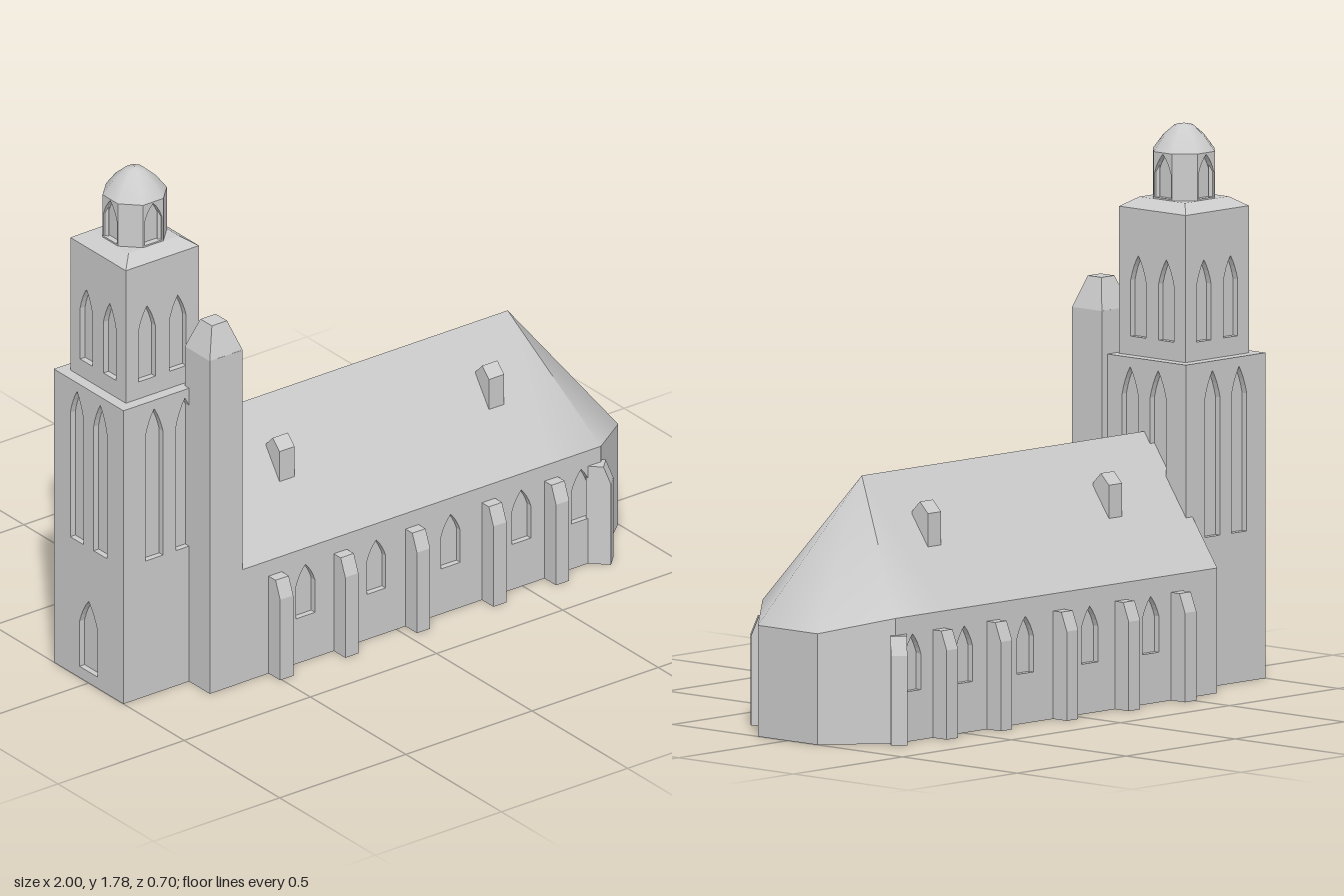
import * as THREE from 'three';
import { ConvexGeometry } from 'three/addons/geometries/ConvexGeometry.js';

const stone = new THREE.MeshStandardMaterial({ color: 0xcccccc });
stone.name = 'pale stone';

const v = (x, y, z) => new THREE.Vector3(x, y, z);

function add(parent, name, geometry, x = 0, y = 0, z = 0, turn = 0) {
  const mesh = new THREE.Mesh(geometry, stone);
  mesh.name = name;
  mesh.position.set(x, y, z);
  mesh.rotation.y = turn;
  parent.add(mesh);
  return mesh;
}

// Box given by its limits
function block(parent, name, x0, x1, y0, y1, z0, z1) {
  return add(parent, name, new THREE.BoxGeometry(x1 - x0, y1 - y0, z1 - z0),
    (x0 + x1) / 2, (y0 + y1) / 2, (z0 + z1) / 2);
}

// Pointed-arch opening: centre, width, sill, spring line and peak
function lancet([cx, w, sill, spring, peak]) {
  const p = new THREE.Path();
  p.moveTo(cx - w / 2, sill);
  p.lineTo(cx + w / 2, sill);
  p.lineTo(cx + w / 2, spring);
  p.quadraticCurveTo(cx + w * 0.34, (spring + peak) / 2 + 0.006, cx, peak);
  p.quadraticCurveTo(cx - w * 0.34, (spring + peak) / 2 + 0.006, cx - w / 2, spring);
  return p;
}

// Wall slab with openings; its outer face lies at the given distance along +z
function wall(x0, x1, y0, y1, windows, depth, distance) {
  const s = new THREE.Shape();
  s.moveTo(x0, y0).lineTo(x1, y0).lineTo(x1, y1).lineTo(x0, y1);
  s.holes = windows.map(lancet);
  return new THREE.ExtrudeGeometry(s, { depth, bevelEnabled: false, curveSegments: 4 })
    .translate(0, 0, distance - depth);
}

// Four-sided tapering block from a lower to an upper square
function taper(h0, y0, h1, y1) {
  const pts = [];
  for (const [h, y] of [[h0, y0], [h1, y1]])
    for (const sx of [-1, 1]) for (const sz of [-1, 1]) pts.push(v(sx * h, y, sz * h));
  return new ConvexGeometry(pts);
}

// Square tower stage with recessed windows on every side
function stage(parent, name, half, y0, y1, windowsFor) {
  const d = 0.02, c = half - d;
  block(parent, name + 'Core', -c, c, y0, y1, -c, c);
  for (let i = 0; i < 4; i++) {
    const w = i % 2 ? c : half;
    add(parent, name + 'Wall', wall(-w, w, y0, y1, windowsFor(i), d, half), 0, 0, 0, i * Math.PI / 2);
  }
}

function buildTower() {
  const tower = new THREE.Group();
  tower.name = 'tower';
  tower.position.x = -0.8175;

  const pair = (w, ...ys) => [-0.061, 0.061].map(x => [x, w, ...ys]);
  stage(tower, 'lowerStage', 0.1825, 0, 1.04, i => {
    const list = pair(0.07, 0.48, 0.92, 1.01);
    if (i === 3) list.push([0, 0.095, 0.04, 0.2, 0.29]); // west doorway
    return list;
  });
  stage(tower, 'upperStage', 0.145, 1.04, 1.51, () => pair(0.066, 1.1, 1.28, 1.36));
  add(tower, 'towerCap', taper(0.145, 1.51, 0.1, 1.54));

  // Octagonal lantern
  const a = 0.097, d = 0.02, k = Math.cos(Math.PI / 8);
  const r = (a - d) / k, side = a * Math.tan(Math.PI / 8);
  add(tower, 'lanternCore',
    new THREE.CylinderGeometry(r, r, 0.16, 8, 1, false, Math.PI / 8).toNonIndexed(), 0, 1.61, 0)
    .geometry.computeVertexNormals();
  for (let i = 0; i < 8; i++) {
    const windows = i % 2 ? [] : [[0, 0.07, 1.545, 1.625, 1.685]];
    add(tower, 'lanternWall', wall(-side, side, 1.53, 1.69, windows, d, a), 0, 0, 0, i * Math.PI / 4);
  }
  const dome = [[a, 1.69], [0.064, 1.737], [0.028, 1.77], [0, 1.776]]
    .map(([x, y]) => new THREE.Vector2(x / k, y));
  add(tower, 'lanternDome', new THREE.LatheGeometry(dome, 8, Math.PI / 8));
  return tower;
}

// Roof slopes and hipped apse end; shared corners soften the hips
function roofGeometry() {
  const pos = [], index = [];
  const put = (x, y, z) => pos.push(x, y, z) / 3 - 1;
  const x0 = -0.665, xm = 0.6, xr = 0.66, xe = 0.81;
  const apex = put(xr, 0.81, 0);
  const ends = [];
  for (const s of [1, -1]) {
    const tri = (a, b, c) => (s > 0 ? index.push(a, b, c) : index.push(a, c, b));
    const e0 = put(x0, 0.4, s * 0.29), em = put(xm, 0.4, s * 0.29), e1 = put(xe, 0.4, s * 0.29);
    const r0 = put(x0, 0.81, 0), rm = put(xm, 0.81, 0), r1 = put(xr, 0.81, 0);
    const e2 = put(1, 0.355, s * 0.13);
    tri(e0, em, rm); tri(e0, rm, r0);
    tri(em, e1, r1); tri(em, r1, rm);
    tri(e1, e2, apex);
    ends.push(e2);
  }
  index.push(ends[0], ends[1], apex);
  index.push(put(x0, 0.4, -0.29), put(x0, 0.4, 0.29), put(x0, 0.81, 0)); // west gable
  const g = new THREE.BufferGeometry();
  g.setAttribute('position', new THREE.Float32BufferAttribute(pos, 3));
  g.setIndex(index);
  g.computeVertexNormals();
  return g;
}

function buildNave() {
  const nave = new THREE.Group();
  nave.name = 'nave';
  block(nave, 'naveCore', -0.665, 0.81, 0, 0.4, -0.27, 0.27);
  const bays = [-0.36, -0.08, 0.215, 0.495, 0.732];
  for (const s of [1, -1]) {
    const windows = bays.map(x => [s * x, 0.075, 0.16, 0.275, 0.342]);
    const [x0, x1] = s > 0 ? [-0.665, 0.81] : [-0.81, 0.665];
    add(nave, 'naveWall', wall(x0, x1, 0, 0.4, windows, 0.02, 0.29), 0, 0, 0, s > 0 ? 0 : Math.PI);
  }

  // Angled apse
  const apse = [];
  for (const s of [1, -1])
    for (const [x, z, top] of [[0.81, 0.29, 0.4], [1, 0.13, 0.355]])
      apse.push(v(x, 0, s * z), v(x, top, s * z));
  add(nave, 'apse', new ConvexGeometry(apse));
  add(nave, 'roof', roofGeometry());

  // Buttresses with sloped heads, the last pair set diagonally
  const profile = new THREE.Shape();
  profile.moveTo(-0.02, 0).lineTo(0.06, 0).lineTo(0.06, 0.285).lineTo(0.036, 0.345).lineTo(-0.02, 0.345);
  const buttress = new THREE.ExtrudeGeometry(profile, { depth: 0.052, bevelEnabled: false })
    .translate(0, 0, -0.026).rotateY(-Math.PI / 2);
  for (const s of [1, -1]) {
    for (const x of [-0.48, -0.222, 0.062, 0.365, 0.613])
      add(nave, 'buttress', buttress, x, 0, s * 0.29, s > 0 ? 0 : Math.PI);
    add(nave, 'cornerButtress', buttress, 0.787, 0, s * 0.281, s > 0 ? Math.PI / 4 : Math.PI * 0.75);
  }

  // Small gabled dormers
  const gable = new THREE.Shape();
  gable.moveTo(-0.035, 0.57).lineTo(0.035, 0.57).lineTo(0.035, 0.69).lineTo(0, 0.725).lineTo(-0.035, 0.69);
  const dormer = new THREE.ExtrudeGeometry(gable, { depth: 0.06, bevelEnabled: false })
    .translate(0, 0, -0.03).rotateY(-Math.PI / 2);
  for (const s of [1, -1])
    for (const x of [-0.335, 0.495]) add(nave, 'dormer', dormer, x, 0, s * 0.125);
  return nave;
}

export function createModel() {
  const model = new THREE.Group();
  model.name = 'church';
  model.add(buildTower(), buildNave());

  // Stair turret beside the tower
  block(model, 'stairTurret', -0.74, -0.61, 0, 1.18, 0.16, 0.291);
  add(model, 'stairTurretCap', taper(0.065, 1.18, 0.03, 1.28), -0.675, 0, 0.2255);
  return model;
}
